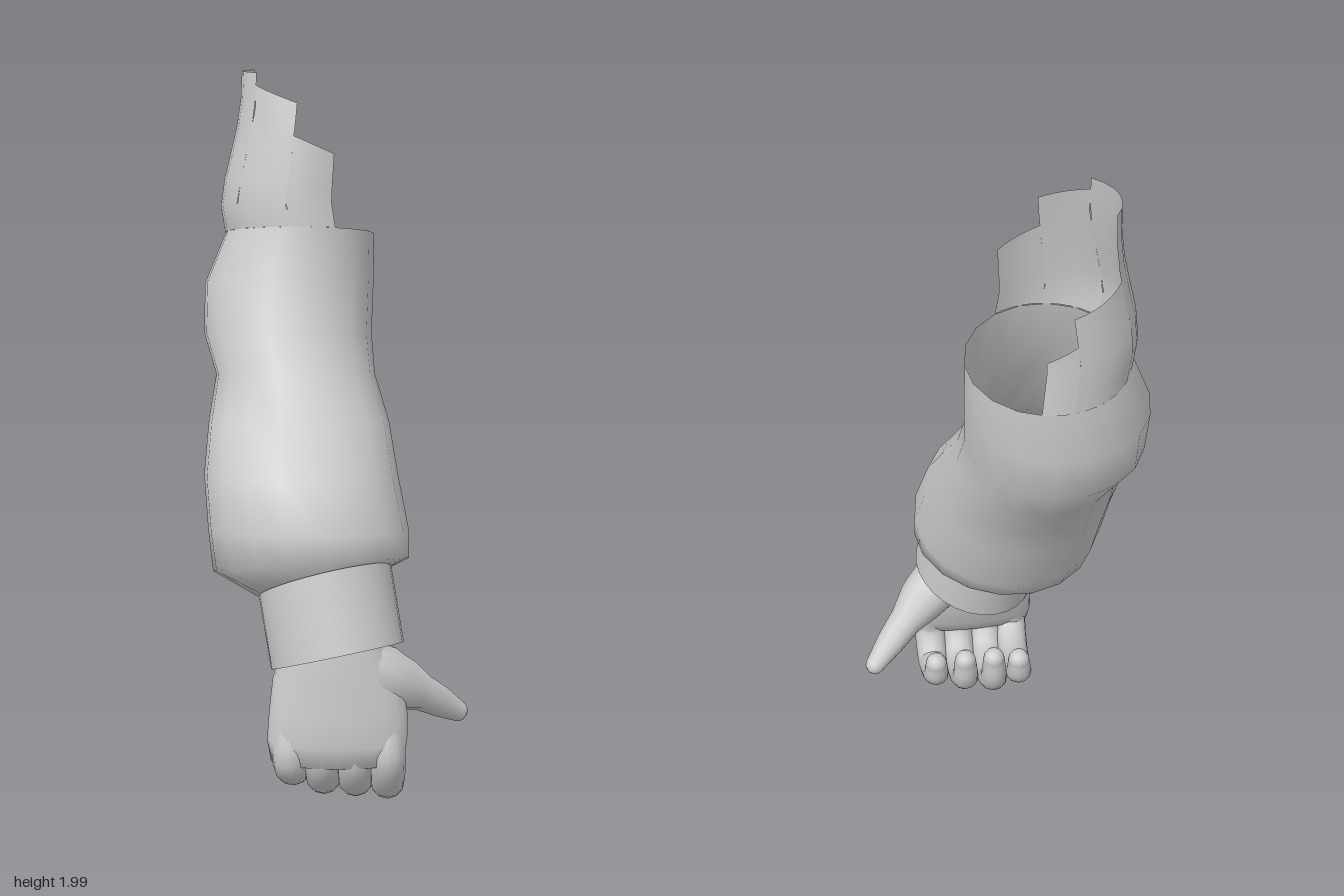
import * as THREE from 'three';

const SEG = 18;
const grey = new THREE.MeshStandardMaterial({ color: 0xcccccc, side: THREE.DoubleSide });

// Tilted elliptical ring: x extents, front (z, y), back (z, y), sideways tilt
function ringPoint([x0, x1, zF, yF, zB, yB, tilt = 0], a) {
  const c = Math.cos(a), s = Math.sin(a);
  return new THREE.Vector3(
    (x0 + x1) / 2 + ((x1 - x0) / 2) * c,
    (yF + yB) / 2 + ((yF - yB) / 2) * s + tilt * c,
    (zF + zB) / 2 + ((zF - zB) / 2) * s);
}

// Surface through rows of points, listed from top to bottom
function skin(rows, closed) {
  const n = rows[0].length, index = [];
  for (let i = 0; i < rows.length - 1; i++) {
    for (let j = 0; j < (closed ? n : n - 1); j++) {
      const k = (j + 1) % n;
      const a = i * n + j, b = i * n + k, c = a + n, d = b + n;
      index.push(a, b, c, b, d, c);
    }
  }
  const g = new THREE.BufferGeometry().setFromPoints(rows.flat());
  g.setIndex(index);
  g.computeVertexNormals();
  return g;
}

function loft(rings, seg = SEG) {
  return skin(rings.map(r => Array.from({ length: seg }, (_, j) =>
    ringPoint(r, (j / seg) * Math.PI * 2))), true);
}

// Tapered tube with a round tip; radii are spread evenly along the path
function finger(name, points, radii) {
  const group = new THREE.Group();
  group.name = name;
  const curve = new THREE.CatmullRomCurve3(points.map(p => new THREE.Vector3(...p)));
  const steps = 20, sides = 12;
  const g = new THREE.TubeGeometry(curve, steps, 1, sides);
  const pos = g.attributes.position, v = new THREE.Vector3();
  for (let i = 0; i <= steps; i++) {
    const centre = curve.getPointAt(i / steps);
    const t = (i / steps) * (radii.length - 1);
    const k = Math.min(Math.floor(t), radii.length - 2);
    const r = THREE.MathUtils.lerp(radii[k], radii[k + 1], t - k);
    for (let j = 0; j <= sides; j++) {
      const q = i * (sides + 1) + j;
      v.fromBufferAttribute(pos, q).sub(centre).multiplyScalar(r).add(centre);
      pos.setXYZ(q, v.x, v.y, v.z);
    }
  }
  const tip = new THREE.Mesh(new THREE.SphereGeometry(radii.at(-1), 12, 8), grey);
  tip.position.copy(curve.getPoint(1));
  group.add(new THREE.Mesh(g, grey), tip);
  return group;
}

export function createModel() {
  const model = new THREE.Group();
  model.name = 'sleevedArm';
  const add = (name, geometry, parent = model) => {
    const m = new THREE.Mesh(geometry, grey);
    m.name = name;
    parent.add(m);
  };

  // Baggy sleeve from the torn shoulder down to the gathered wrist
  const sleeve = [
    [-0.32, 0.11, -0.03, 1.56, -0.46, 1.50],
    [-0.38, 0.11, 0.0, 1.42, -0.465, 1.35],
    [-0.38, 0.105, 0.07, 1.27, -0.44, 1.22],
    [-0.34, 0.115, 0.13, 1.16, -0.36, 1.11],
    [-0.355, 0.155, 0.23, 1.04, -0.28, 0.99],
    [-0.36, 0.18, 0.37, 0.91, -0.2, 0.85],
    [-0.345, 0.21, 0.44, 0.78, -0.15, 0.69],
    [-0.33, 0.21, 0.42, 0.7, -0.07, 0.59, 0.02],
    [-0.2, 0.16, 0.4, 0.67, 0.06, 0.55, 0.045],
  ];
  add('sleeve', loft(sleeve));

  // Torn shoulder cloth: stepped panels cut from one inward-leaning wall
  const torn = new THREE.Group();
  torn.name = 'tornShoulder';
  model.add(torn);
  const wall = [
    sleeve[0],
    [-0.335, 0.1, -0.035, 1.63, -0.455, 1.63],
    [-0.305, 0.1, -0.05, 1.75, -0.453, 1.75],
    [-0.275, 0.1, -0.07, 1.88, -0.45, 1.88],
    [-0.27, 0.1, -0.1, 2.0, -0.45, 2.0],
  ];
  const wallPoint = (a, y) => {
    const column = wall.map(r => ringPoint(r, a));
    const i = Math.max(1, column.findIndex(p => p.y >= y - 1e-6));
    const t = (y - column[i - 1].y) / (column[i].y - column[i - 1].y);
    return column[i - 1].lerp(column[i], t);
  };
  // From angle, to angle (degrees), top height at each end
  const panels = [
    [60, 95, 1.76, 1.81], [95, 137, 1.9, 1.95], [137, 213, 1.985, 2.0],
    [213, 262, 1.81, 1.77], [262, 284, 1.69, 1.65],
  ];
  for (const [a0, a1, h0, h1] of panels) {
    const rows = Array.from({ length: 7 }, () => []);
    for (let j = 0; j <= 6; j++) {
      const a = THREE.MathUtils.degToRad(THREE.MathUtils.lerp(a0, a1, j / 6));
      const top = THREE.MathUtils.lerp(h0, h1, j / 6);
      const base = ringPoint(sleeve[0], a).y;
      rows.forEach((row, i) => row.push(wallPoint(a, THREE.MathUtils.lerp(top, base, i / 6))));
    }
    add('tornPanel', skin(rows, false), torn);
  }

  // Cuff: outer band, rolled top edge, bottom rim and lining
  const cuffTop = [-0.2, 0.16, 0.415, 0.68, 0.06, 0.55, 0.045];
  const cuffBottom = [-0.165, 0.195, 0.465, 0.465, 0.105, 0.37, 0.04];
  const cuffInner = [-0.15, 0.18, 0.45, 0.462, 0.12, 0.375, 0.037];
  const liningTop = [-0.17, 0.14, 0.39, 0.65, 0.08, 0.54, 0.04];
  const cuff = new THREE.Group();
  cuff.name = 'cuff';
  model.add(cuff);
  add('cuffBand', loft([cuffTop, cuffBottom], 28), cuff);
  add('cuffTopEdge', loft([[-0.18, 0.14, 0.39, 0.67, 0.08, 0.55, 0.04], cuffTop], 28), cuff);
  add('cuffRim', loft([cuffBottom, cuffInner], 28), cuff);
  add('cuffLining', loft([cuffInner, liningTop], 28), cuff);

  // Hand: wrist, palm and knuckles
  const hand = new THREE.Group();
  hand.name = 'hand';
  model.add(hand);
  add('palm', loft([
    [-0.11, 0.1, 0.36, 0.6, 0.18, 0.55],
    [-0.135, 0.14, 0.385, 0.46, 0.2, 0.43],
    [-0.16, 0.19, 0.39, 0.36, 0.215, 0.36],
    [-0.17, 0.205, 0.395, 0.27, 0.24, 0.27],
    [-0.175, 0.205, 0.4, 0.19, 0.26, 0.2],
    [-0.165, 0.195, 0.385, 0.13, 0.29, 0.15],
    [0.0, 0.01, 0.345, 0.12, 0.335, 0.13],
  ], 24), hand);

  // Four curled fingers: name, base x, tip x, drop, reach back, tip height
  const fingers = [
    ['indexFinger', 0.15, 0.155, 0.05, 0.15, 0.15],
    ['middleFinger', 0.06, 0.07, 0.058, 0.095, 0.2],
    ['ringFinger', -0.03, -0.015, 0.065, 0.065, 0.225],
    ['littleFinger', -0.115, -0.095, 0.09, 0.075, 0.2],
  ];
  for (const [name, x0, x1, low, back, tipY] of fingers) {
    const x = t => THREE.MathUtils.lerp(x0, x1, t);
    hand.add(finger(name, [
      [x(0), 0.23, 0.325],
      [x(0.2), 0.14, 0.338],
      [x(0.45), low + 0.005, 0.27],
      [x(0.65), low + 0.01, back + 0.09],
      [x(0.85), (low + tipY) / 2, back + 0.01],
      [x(1), tipY, back],
    ], [0.045, 0.05, 0.049, 0.046, 0.042, 0.033]));
  }

  // Thumb pointing outward and slightly back, with a full base
  hand.add(finger('thumb', [
    [0.06, 0.42, 0.29], [0.14, 0.36, 0.28], [0.245, 0.29, 0.2], [0.35, 0.208, 0.11],
  ], [0.06, 0.085, 0.075, 0.052, 0.044, 0.03]));

  return model;
}
